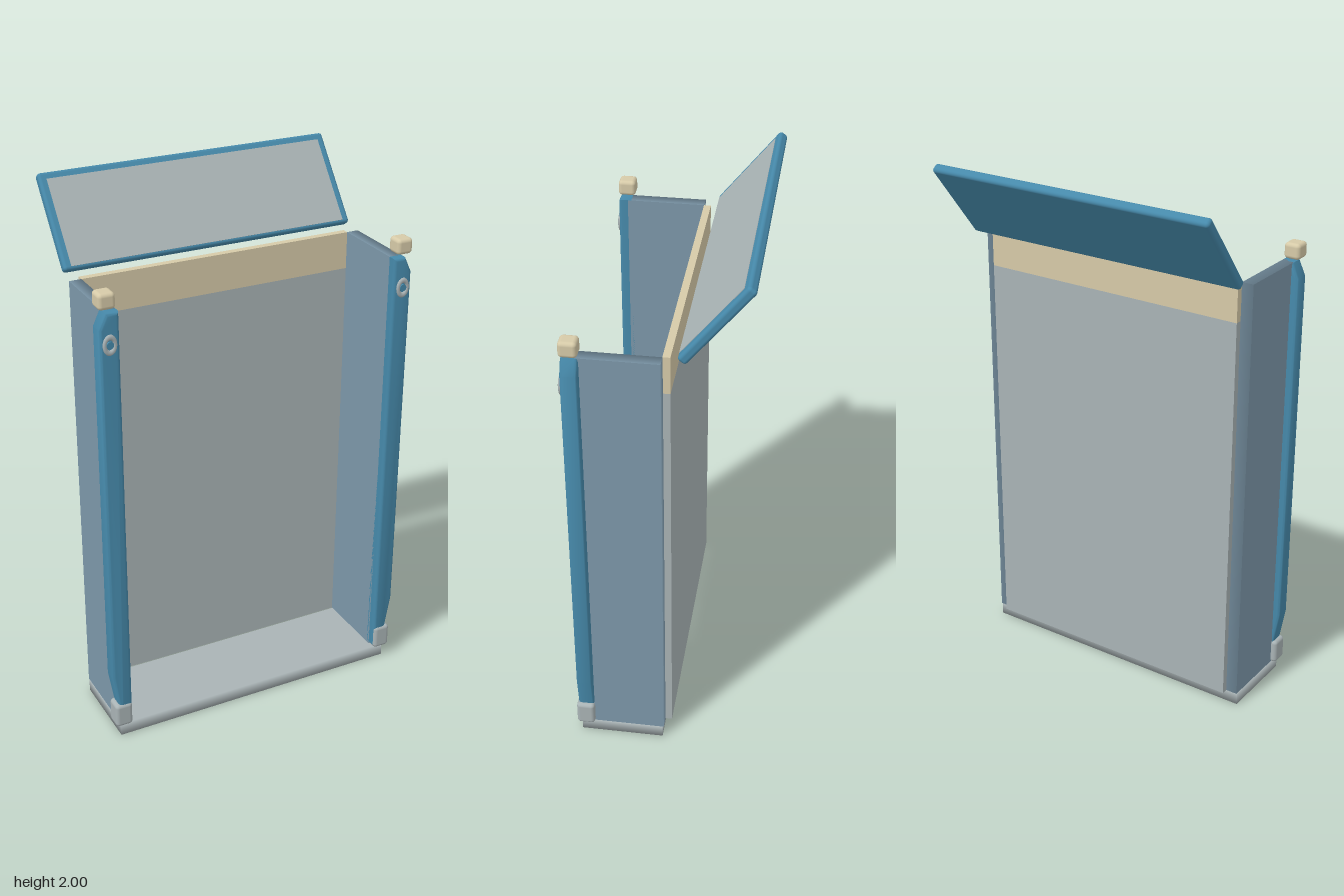
import * as THREE from 'three';
import { toCreasedNormals } from 'three/addons/utils/BufferGeometryUtils.js';
import { RoundedBoxGeometry } from 'three/addons/geometries/RoundedBoxGeometry.js';

const material = (name, color) => {
  const m = new THREE.MeshStandardMaterial({ color });
  m.name = name;
  return m;
};

// Thin slab whose rim is shaded softly from one broad face to the other
function softSlab(w, h, d, axis) {
  const g = new THREE.BoxGeometry(w, h, d);
  const p = g.attributes.position, n = g.attributes.normal;
  const v = new THREE.Vector3();
  for (let i = 0; i < p.count; i++) {
    v.fromBufferAttribute(n, i);
    if (Math.abs(v.getComponent(axis)) > 0.5) continue;
    v.multiplyScalar(0.35).setComponent(axis, Math.sign(p.getComponent(i, axis))).normalize();
    n.setXYZ(i, v.x, v.y, v.z);
  }
  return g;
}

// Front rail outline with tapered outer corners, given a soft bevel
function railGeometry(side) {
  const b = 0.012;
  const pts = [[0.525, 0.06], [0.574, 0.06], [0.576, 0.14], [0.598, 0.27],
    [0.598, 1.645], [0.572, 1.70], [0.525, 1.70]];
  const shape = new THREE.Shape(pts.map(([x, y]) => new THREE.Vector2(side * x, y)));
  const g = new THREE.ExtrudeGeometry(shape, {
    depth: 0.06 - 2 * b, bevelEnabled: true, bevelThickness: b,
    bevelSize: b, bevelOffset: -b, bevelSegments: 4,
  });
  g.translate(0, 0, 0.245 + b);
  return toCreasedNormals(g, 0.6);
}

export function createModel() {
  const model = new THREE.Group();
  model.name = 'openCase';
  const grey = material('panelGrey', 0xa9b3b5);
  const blue = material('frameBlue', 0x4689aa);
  const slate = material('sideSlate', 0x7c97a9);
  const cream = material('trimCream', 0xd6caa8);

  const add = (parent, name, geometry, mat, x = 0, y = 0, z = 0) => {
    const m = new THREE.Mesh(geometry, mat);
    m.name = name;
    m.position.set(x, y, z);
    parent.add(m);
    return m;
  };

  // Base and back
  add(model, 'base', softSlab(1.14, 0.05, 0.31, 1), grey, 0, 0.025, 0.14);
  add(model, 'backPanel', new THREE.BoxGeometry(1.05, 1.51, 0.026), grey, 0, 0.805, -0.032);
  add(model, 'backTopStrip', new THREE.BoxGeometry(1.05, 0.14, 0.026), cream, 0, 1.63, -0.032);

  for (const s of [1, -1]) {
    const side = new THREE.Group();
    side.name = s > 0 ? 'leftSide' : 'rightSide';
    model.add(side);
    add(side, 'sidePanel', softSlab(0.045, 1.65, 0.29, 0), slate, s * 0.5475, 0.875, 0.125);
    add(side, 'frontRail', railGeometry(s), blue);
    add(side, 'topCap', new RoundedBoxGeometry(0.062, 0.058, 0.064, 3, 0.014), cream,
      s * 0.566, 1.741, 0.275);
    add(side, 'foot', new RoundedBoxGeometry(0.066, 0.096, 0.068, 3, 0.014), grey,
      s * 0.559, 0.097, 0.277);
    // Small stud near the top of the rail
    const ring = add(side, 'studRing', new THREE.TorusGeometry(0.019, 0.007, 8, 20), grey,
      s * 0.562, 1.59, 0.306);
    ring.scale.y = 1.45;
    const centre = add(side, 'studCentre', new THREE.CylinderGeometry(0.013, 0.013, 0.008, 16), blue,
      s * 0.562, 1.59, 0.307);
    centre.rotation.x = Math.PI / 2;
  }

  // Tilted lid with its inset panel
  const lid = new THREE.Group();
  lid.name = 'lid';
  lid.position.set(0, 1.85, -0.195);
  lid.rotation.x = -0.672;
  model.add(lid);
  add(lid, 'lidFrame', new RoundedBoxGeometry(1.13, 0.36, 0.036, 4, 0.012), blue);
  add(lid, 'lidPanel', new THREE.BoxGeometry(1.075, 0.322, 0.008), grey, 0, -0.008, 0.0155);

  return model;
}
